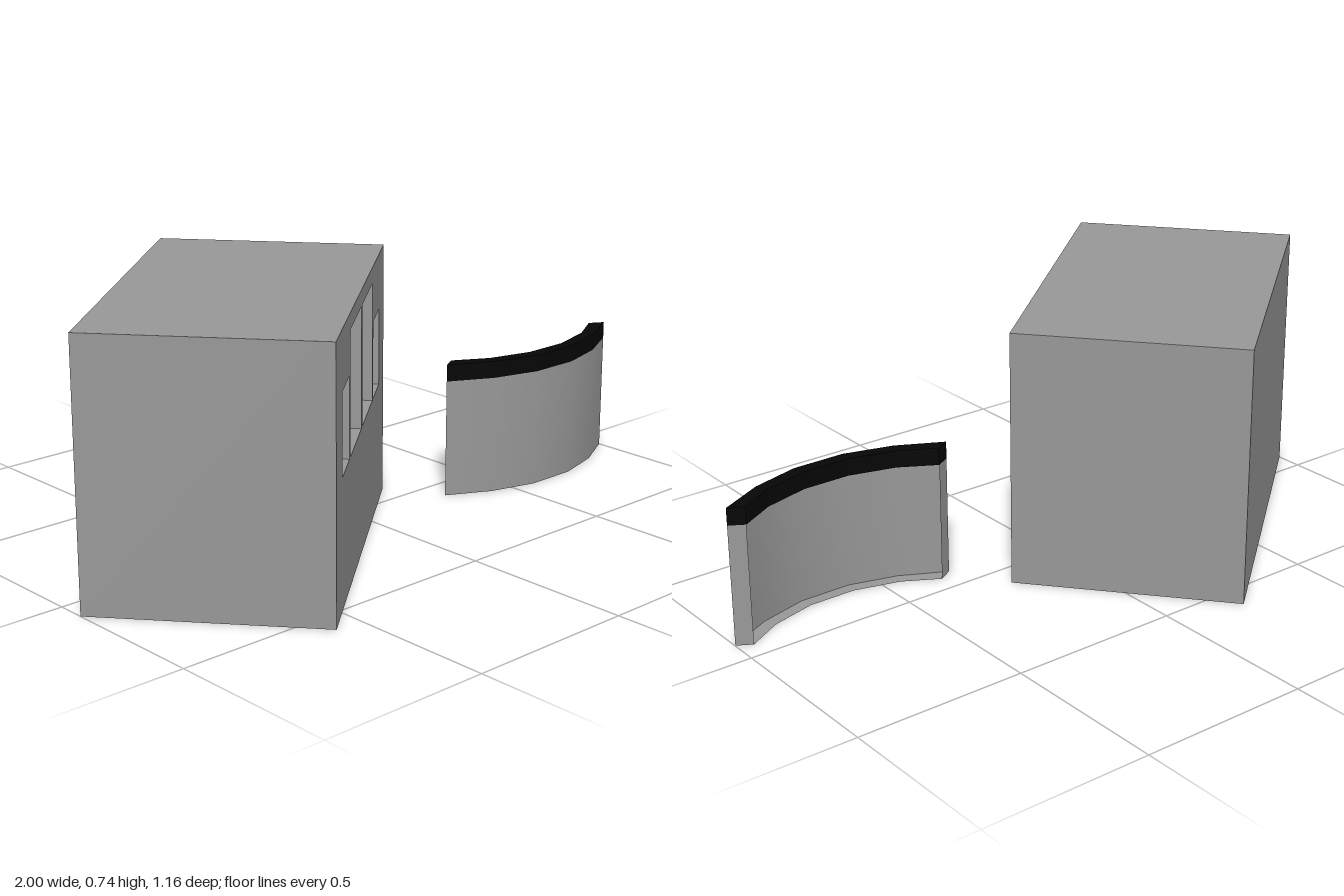
import * as THREE from 'three';

const grey = new THREE.MeshStandardMaterial({ color: 0x999999 });
const greyThin = new THREE.MeshStandardMaterial({ color: 0x999999, side: THREE.DoubleSide });
const dark = new THREE.MeshStandardMaterial({ color: 0x060606 });

function add(parent, name, geometry, material, x = 0, y = 0, z = 0) {
  const mesh = new THREE.Mesh(geometry, material);
  mesh.name = name;
  mesh.position.set(x, y, z);
  parent.add(mesh);
}

// Block with four recessed dark windows in its front wall
function createBlock() {
  const W = 1.03, H = 0.743, D = 0.652, recess = 0.033;
  const block = new THREE.Group();
  block.name = 'block';
  add(block, 'blockBody', new THREE.BoxGeometry(W, H, D - recess), grey, 0, H / 2, -recess / 2);

  const rect = (target, x0, x1, y0, y1) => target
    .moveTo(x0, y0).lineTo(x1, y0).lineTo(x1, y1).lineTo(x0, y1).closePath();
  const wall = new THREE.Shape();
  rect(wall, -W / 2, W / 2, 0, H);
  const sill = 0.36;
  for (const side of [-1, 1]) {
    for (const [near, far, top] of [[0.01, 0.243, 0.698], [0.26, 0.402, 0.583]]) {
      const x0 = Math.min(side * near, side * far), x1 = Math.max(side * near, side * far);
      const hole = new THREE.Path();
      rect(hole, x0, x1, sill, top);
      wall.holes.push(hole);
      add(block, 'windowPane', new THREE.BoxGeometry(x1 - x0, top - sill, 0.004), dark,
        (x0 + x1) / 2, (sill + top) / 2, D / 2 - recess);
    }
  }
  add(block, 'frontWall', new THREE.ExtrudeGeometry(wall, { depth: recess, bevelEnabled: false }),
    grey, 0, 0, D / 2 - recess);
  return block;
}

// Curved counter: hollow at the back, with a dark top
function createCounter() {
  const bodyHeight = 0.35, topHeight = 0.05;
  const counter = new THREE.Group();
  counter.name = 'counter';

  // Half profiles as [x, z], mirrored into full left-to-right rows
  const mirror = (half) => [
    ...half.map(([x, z]) => new THREE.Vector2(-x, z)).reverse(),
    ...half.map(([x, z]) => new THREE.Vector2(x, z)),
  ];
  const outer = mirror([[0.077, 0.191], [0.218, 0.152], [0.347, 0.084]]);
  const inner = mirror([[0.07, 0.154], [0.203, 0.118], [0.305, 0.059]]);
  const flip = (p) => new THREE.Vector2(p.x, -p.y);
  const plan = new THREE.Shape([...outer.map(flip), ...inner.map(flip).reverse()]);

  // Upright sheet standing on a row of plan points
  const sheet = (points) => {
    const positions = [], index = [];
    points.forEach((p, i) => {
      positions.push(p.x, 0, p.y, p.x, bodyHeight, p.y);
      const a = 2 * i;
      if (i < points.length - 1) index.push(a, a + 2, a + 3, a, a + 3, a + 1);
    });
    const g = new THREE.BufferGeometry();
    g.setAttribute('position', new THREE.Float32BufferAttribute(positions, 3));
    g.setIndex(index);
    g.computeVertexNormals();
    return g;
  };
  const last = outer.length - 1;
  add(counter, 'counterFront', sheet(outer), greyThin);
  add(counter, 'counterRightEnd', sheet([inner[0], outer[0]]), greyThin);
  add(counter, 'counterLeftEnd', sheet([outer[last], inner[last]]), greyThin);
  add(counter, 'counterFloor', new THREE.ShapeGeometry(plan).rotateX(-Math.PI / 2), greyThin);

  const top = new THREE.ExtrudeGeometry(plan, { depth: topHeight, bevelEnabled: false });
  add(counter, 'counterTop', top.rotateX(-Math.PI / 2), dark, 0, bodyHeight, 0);
  return counter;
}

export function createModel() {
  const model = new THREE.Group();
  model.name = 'blockAndCounter';

  const block = createBlock();
  block.position.x = -0.396;
  block.rotation.y = THREE.MathUtils.degToRad(40);

  const counter = createCounter();
  counter.position.x = 0.652;

  model.add(block, counter);
  return model;
}
